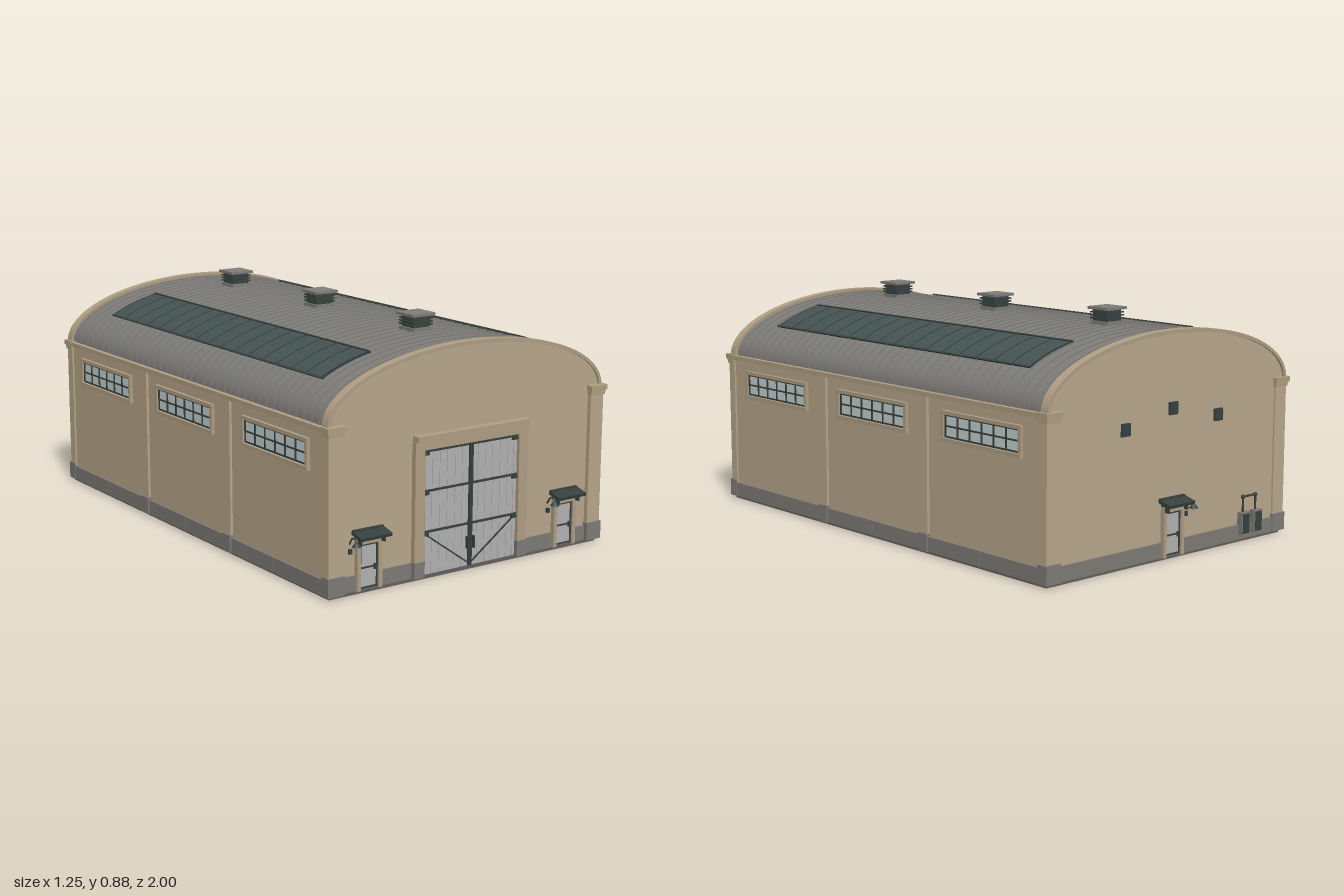
import * as THREE from 'three';
import { toCreasedNormals } from 'three/addons/utils/BufferGeometryUtils.js';

const mat = (name, color) => {
  const m = new THREE.MeshStandardMaterial({ color });
  m.name = name;
  return m;
};
const M = {
  wall: mat('tan render', 0xb8a78b),
  trim: mat('tan stone trim', 0xb09f82),
  plinth: mat('grey plinth', 0x7d7b76),
  slab: mat('dark slab', 0x63605c),
  roof: mat('roof metal', 0x7f7d79),
  green: mat('dark green metal', 0x36423f),
  skylight: mat('skylight glazing', 0x445252),
  door: mat('pale grey door', 0xb2b2b2),
  glass: mat('pale glass', 0xc3d1d0),
};

function add(parent, name, geo, material, x = 0, y = 0, z = 0) {
  const m = new THREE.Mesh(geo, material);
  m.name = name;
  m.position.set(x, y, z);
  parent.add(m);
  return m;
}

// Box from its limits, in any order
function box(parent, name, material, x0, x1, y0, y1, z0, z1) {
  const g = new THREE.BoxGeometry(Math.abs(x1 - x0), Math.abs(y1 - y0), Math.abs(z1 - z0));
  return add(parent, name, g, material, (x0 + x1) / 2, (y0 + y1) / 2, (z0 + z1) / 2);
}

// Flat bar in the xy plane between two points
function bar(parent, name, material, x0, y0, x1, y1, z, w, d) {
  const g = new THREE.BoxGeometry(Math.hypot(x1 - x0, y1 - y0), w, d);
  const m = add(parent, name, g, material, (x0 + x1) / 2, (y0 + y1) / 2, z);
  m.rotation.z = Math.atan2(y1 - y0, x1 - x0);
}

// Roof curve: half ellipse, grown outward by o
const A = 0.605, B = 0.222, SPRING = 0.598;
const roofPoint = (t, o) => new THREE.Vector2((A + o) * Math.cos(t), SPRING + (B + o) * Math.sin(t));

function extrude(pts, depth) {
  const g = new THREE.ExtrudeGeometry(new THREE.Shape(pts), { depth, bevelEnabled: false });
  return toCreasedNormals(g, 0.5);
}

// Curved strip following the roof between two angles and two offsets
function arcBand(o0, o1, t0, t1, depth, n = 48) {
  const pts = [];
  for (let i = 0; i <= n; i++) pts.push(roofPoint(t0 + (t1 - t0) * i / n, o1));
  for (let i = n; i >= 0; i--) pts.push(roofPoint(t0 + (t1 - t0) * i / n, o0));
  return extrude(pts, depth);
}

// Gable wall with arched head
function gable(o, depth) {
  const pts = [new THREE.Vector2(-A - o, 0.012), new THREE.Vector2(A + o, 0.012)];
  for (let i = 0; i <= 48; i++) pts.push(roofPoint(Math.PI * i / 48, o));
  return extrude(pts, depth);
}

// Service door with surround, sloping canopy and lamp; the wall face is local z = 0
function serviceDoor(parent, x, z, turn, lampSide) {
  const g = new THREE.Group();
  g.name = 'serviceDoor';
  g.position.set(x, 0, z);
  g.rotation.y = turn;
  parent.add(g);
  for (const s of [-1, 1]) {
    box(g, 'doorJamb', M.trim, s * 0.038, s * 0.053, 0.012, 0.18, -0.005, 0.018);
    box(g, 'canopyBracket', M.green, s * 0.046, s * 0.052, 0.18, 0.208, 0, 0.038);
    box(g, 'doorStile', M.green, s * 0.032, s * 0.038, 0.015, 0.18, 0, 0.011);
  }
  box(g, 'doorLintel', M.trim, -0.053, 0.053, 0.178, 0.2, -0.005, 0.02);
  box(g, 'doorPanel', M.door, -0.034, 0.034, 0.015, 0.178, -0.005, 0.008);
  for (const y of [0.017, 0.088, 0.17]) box(g, 'doorRail', M.green, -0.034, 0.034, y, y + 0.006, 0, 0.011);
  box(g, 'doorHandle', M.green, 0.022, 0.028, 0.08, 0.1, 0.008, 0.016);
  add(g, 'canopy', new THREE.BoxGeometry(0.132, 0.012, 0.058), M.green, 0, 0.214, 0.028).rotation.x = 0.25;
  box(g, 'canopyFlashing', M.green, -0.063, 0.063, 0.216, 0.23, 0, 0.012);
  // Wall lamp
  const lx = lampSide * 0.074;
  const arm = new THREE.CatmullRomCurve3([[0, 0.182, 0], [0, 0.207, 0.018], [0, 0.207, 0.035], [0, 0.196, 0.042]]
    .map(p => new THREE.Vector3(...p)));
  add(g, 'lampArm', new THREE.TubeGeometry(arm, 10, 0.003, 6), M.green, lx, 0, 0);
  add(g, 'lampShade', new THREE.CylinderGeometry(0.005, 0.017, 0.015, 14), M.green, lx, 0.19, 0.042);
  add(g, 'lampBulb', new THREE.SphereGeometry(0.007, 10, 8), M.glass, lx, 0.181, 0.042);
  box(g, 'lampSwitch', M.green, lx - 0.006, lx + 0.006, 0.148, 0.165, 0, 0.01);
}

function sideWall(root, s) {
  // Plinth blocks and pilasters
  for (const [a, b] of [[0.92, 0.615], [0.613, 0.333], [0.282, 0.001], [-0.001, -0.28], [-0.331, -0.613], [-0.615, -0.92]])
    box(root, 'sidePlinth', M.plinth, s * 0.59, s * 0.619, 0.012, 0.068, a, b);
  for (const z of [0.307, -0.305]) {
    box(root, 'sidePilaster', M.wall, s * 0.59, s * 0.62, 0.07, 0.585, z - 0.023, z + 0.023);
    box(root, 'pilasterBase', M.plinth, s * 0.59, s * 0.626, 0.012, 0.078, z - 0.026, z + 0.026);
  }
  box(root, 'eavesCornice', M.trim, s * 0.58, s * 0.625, 0.583, 0.6, -0.92, 0.92);
  // Windows, six panes by two
  for (const z of [0.62, 0, -0.62]) {
    box(root, 'windowGlass', M.glass, s * 0.6, s * 0.612, 0.445, 0.533, z - 0.198, z + 0.198);
    box(root, 'windowHead', M.trim, s * 0.6, s * 0.623, 0.531, 0.545, z - 0.21, z + 0.21);
    box(root, 'windowSill', M.trim, s * 0.6, s * 0.626, 0.432, 0.447, z - 0.213, z + 0.213);
    for (const e of [-1, 1]) box(root, 'windowJamb', M.trim, s * 0.6, s * 0.623, 0.44, 0.54, z + e * 0.196, z + e * 0.21);
    for (let i = 0; i <= 6; i++) {
      const c = z - 0.193 + i * 0.386 / 6;
      box(root, 'windowMullion', M.green, s * 0.605, s * 0.616, 0.445, 0.533, c - 0.003, c + 0.003);
    }
    for (const y of [0.45, 0.489, 0.528])
      box(root, 'windowBar', M.green, s * 0.605, s * 0.615, y - 0.003, y + 0.003, z - 0.196, z + 0.196);
  }
  // Corner pilasters; e picks front or back
  for (const [e, face] of [[1, 0.952], [-1, 0.955]]) {
    const inner = e * 0.915;
    box(root, 'cornerPilaster', M.wall, s * 0.556, s * 0.617, 0.012, 0.575, inner, e * face);
    box(root, 'cornerBase', M.plinth, s * 0.553, s * 0.622, 0.012, 0.08, inner, e * (face + 0.005));
    box(root, 'capitalNeck', M.trim, s * 0.553, s * 0.621, 0.566, 0.578, inner, e * (face + 0.004));
    box(root, 'capital', M.trim, s * 0.55, s * 0.627, 0.585, 0.603, inner, e * (face + 0.011));
    box(root, 'capitalBed', M.trim, s * 0.553, s * 0.623, 0.577, 0.586, inner, e * (face + 0.007));
  }
}

function mainDoor(root) {
  const f = 0.935;
  for (const s of [-1, 1]) {
    box(root, 'mainDoorLeaf', M.door, s * 0.002, s * 0.215, 0.015, 0.47, f - 0.005, f + 0.006);
    box(root, 'mainDoorJamb', M.trim, s * 0.213, s * 0.255, 0.012, 0.48, f - 0.005, f + 0.02);
    box(root, 'mainDoorJambBase', M.plinth, s * 0.211, s * 0.257, 0.012, 0.07, f, f + 0.022);
    for (const x of [0.035, 0.068, 0.102, 0.136, 0.17, 0.2])
      box(root, 'doorBatten', M.door, s * (x - 0.002), s * (x + 0.002), 0.016, 0.468, f, f + 0.008);
    box(root, 'doorMeetingStile', M.green, s * 0.001, s * 0.008, 0.016, 0.47, f, f + 0.013);
    for (const y of [0.463, 0.32, 0.172]) {
      box(root, 'doorRail', M.green, s * 0.005, s * 0.213, y - 0.004, y + 0.004, f, f + 0.011);
      box(root, 'doorHinge', M.green, s * 0.188, s * 0.213, y - 0.014, y - 0.002, f, f + 0.014);
    }
    bar(root, 'doorBrace', M.green, s * 0.21, 0.17, s * 0.006, 0.026, f + 0.008, 0.005, 0.005);
    box(root, 'doorHandle', M.green, s * 0.01, s * 0.016, 0.08, 0.125, f, f + 0.02);
  }
  box(root, 'mainDoorLintel', M.trim, -0.255, 0.255, 0.47, 0.502, f - 0.005, f + 0.02);
  box(root, 'mainDoorCornice', M.trim, -0.252, 0.252, 0.502, 0.523, f - 0.005, f + 0.03);
}

function roofVent(root, z) {
  const g = new THREE.Group();
  g.name = 'roofVent';
  g.position.set(0, 0.815, z);
  root.add(g);
  box(g, 'ventCore', M.green, -0.036, 0.036, 0, 0.06, -0.036, 0.036);
  box(g, 'ventCurb', M.roof, -0.043, 0.043, 0, 0.018, -0.043, 0.043);
  for (const y of [0.025, 0.036, 0.047]) box(g, 'ventLouvre', M.green, -0.044, 0.044, y, y + 0.005, -0.044, 0.044);
  box(g, 'ventCap', M.roof, -0.051, 0.051, 0.06, 0.07, -0.051, 0.051);
}

export function createModel() {
  const root = new THREE.Group();
  root.name = 'hangar';
  box(root, 'floorSlab', M.slab, -0.607, 0.607, 0, 0.015, -0.945, 0.94);
  box(root, 'sideWalls', M.wall, -0.61, 0.61, 0.012, 0.59, -0.92, 0.915);
  for (const s of [-1, 1]) sideWall(root, s);

  // Gables with arched copings
  add(root, 'frontGable', gable(0.005, 0.022), M.wall, 0, 0, 0.913);
  add(root, 'backGable', gable(0.005, 0.022), M.wall, 0, 0, -0.948);
  for (const z of [0.908, -0.956])
    add(root, 'gableCoping', arcBand(-0.003, 0.011, 0, Math.PI, 0.034), M.trim, 0, 0, z);

  // Barrel roof with standing seams
  add(root, 'roof', arcBand(-0.03, 0, 0, Math.PI, 1.85), M.roof, 0, 0, -0.933);
  const seam = arcBand(-0.002, 0.004, 0, Math.PI, 0.005);
  for (let i = 0; i < 39; i++) add(root, 'roofSeam', seam, M.roof, 0, 0, -0.9 + i * 0.0468);

  // Curved skylights
  const angle = x => Math.acos(x / A);
  for (const s of [-1, 1]) {
    const strip = (o, x0, x1, d, n) => s > 0
      ? arcBand(-0.002, o, angle(x1), angle(x0), d, n)
      : arcBand(-0.002, o, angle(-x0), angle(-x1), d, n);
    add(root, 'skylight', strip(0.007, 0.303, 0.503, 1.5, 16), M.skylight, 0, 0, -0.75);
    for (const x of [0.301, 0.498]) add(root, 'skylightRail', strip(0.011, x, x + 0.007, 1.51, 2), M.green, 0, 0, -0.755);
    const glazingBar = strip(0.009, 0.303, 0.503, 0.005, 16);
    for (let i = 0; i <= 16; i++) add(root, 'glazingBar', glazingBar, M.green, 0, 0, -0.7525 + i * 0.09375);
  }
  for (const z of [0.615, 0, -0.615]) roofVent(root, z);

  // Plinths along the gables, stopping at the doors
  for (const s of [-1, 1]) {
    box(root, 'frontPlinth', M.plinth, s * 0.257, s * 0.391, 0.012, 0.068, 0.92, 0.942);
    box(root, 'frontPlinth', M.plinth, s * 0.498, s * 0.555, 0.012, 0.068, 0.92, 0.942);
    box(root, 'backPlinth', M.plinth, s * 0.053, s * 0.555, 0.012, 0.068, -0.93, -0.955);
  }
  mainDoor(root);
  for (const x of [-0.445, 0.445]) serviceDoor(root, x, 0.935, 0, -1);
  serviceDoor(root, 0, -0.948, Math.PI, 1);

  // Back wall grilles
  for (const [x, y] of [[0.24, 0.5], [0, 0.55], [-0.24, 0.5]]) {
    box(root, 'wallGrille', M.green, x - 0.021, x + 0.021, y - 0.023, y + 0.023, -0.94, -0.956);
    for (const k of [-0.012, 0, 0.012]) box(root, 'grilleSlat', M.green, x - 0.018, x + 0.018, y + k - 0.002, y + k + 0.002, -0.95, -0.96);
  }
  // Utility cabinets with conduits
  for (const x of [-0.385, -0.455]) {
    box(root, 'utilityCabinet', M.plinth, x - 0.022, x + 0.022, 0.03, 0.115, -0.94, -0.972);
    box(root, 'cabinetDoor', M.green, x - 0.017, x + 0.017, 0.036, 0.109, -0.97, -0.975);
    add(root, 'conduit', new THREE.CylinderGeometry(0.004, 0.004, 0.06, 8), M.green, x, 0.143, -0.955);
    add(root, 'conduitElbow', new THREE.SphereGeometry(0.008, 10, 8), M.green, x, 0.172, -0.955);
  }
  bar(root, 'conduitCross', M.green, -0.455, 0.172, -0.385, 0.172, -0.955, 0.007, 0.007);
  return root;
}
